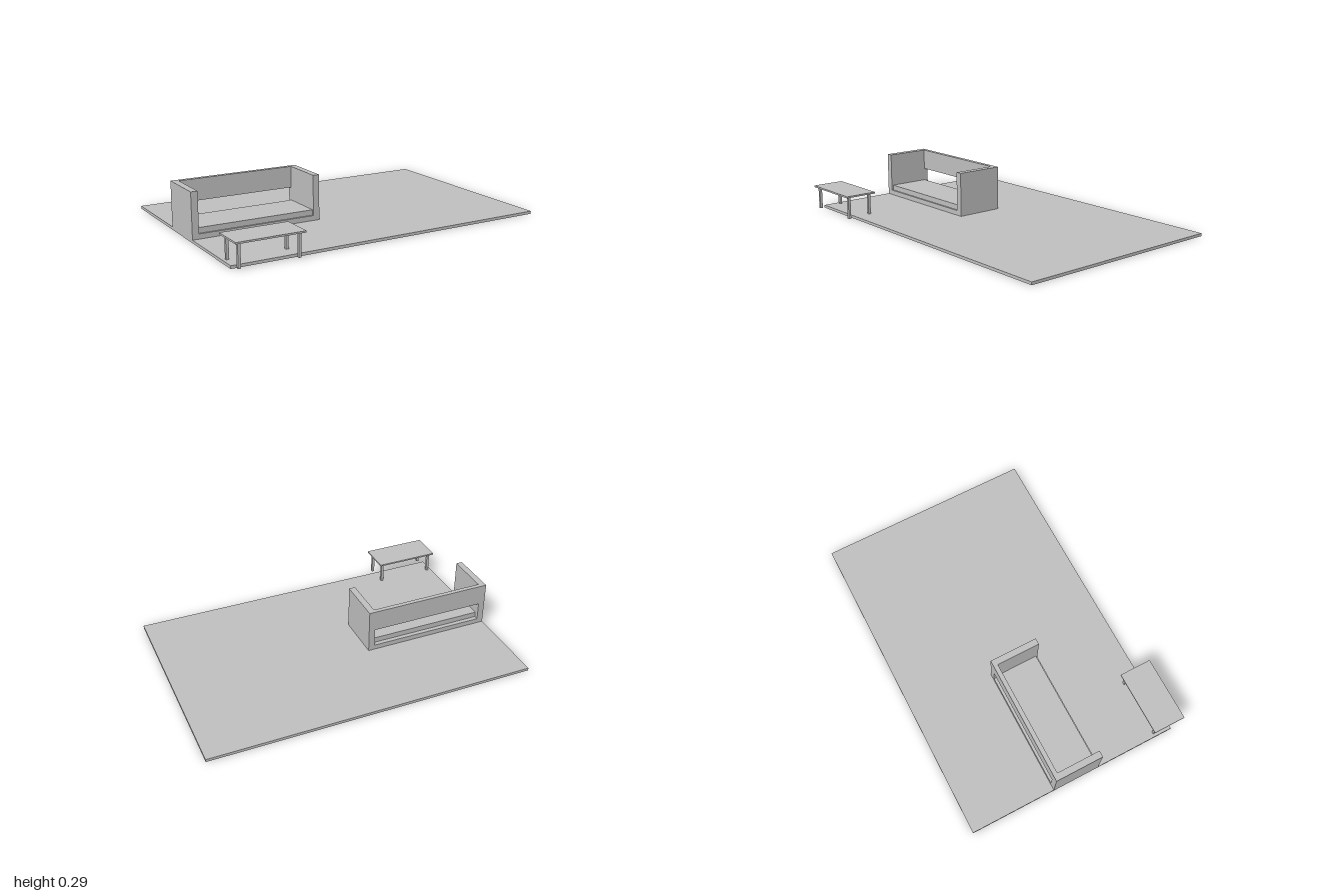
import * as THREE from 'three';

export function createModel() {
  const model = new THREE.Group();
  model.name = 'loungeCorner';
  const grey = new THREE.MeshStandardMaterial({ color: 0xbfbfbf });
  grey.name = 'lightGrey';

  // Box given by its lower and upper limits on each axis
  const box = (parent, name, [x0, x1], [y0, y1], [z0, z1]) => {
    const mesh = new THREE.Mesh(new THREE.BoxGeometry(x1 - x0, y1 - y0, z1 - z0), grey);
    mesh.position.set((x0 + x1) / 2, (y0 + y1) / 2, (z0 + z1) / 2);
    mesh.name = name;
    parent.add(mesh);
  };
  const group = (name) => {
    const g = new THREE.Group();
    g.name = name;
    model.add(g);
    return g;
  };

  // Floor slab
  box(model, 'floor', [-1, 1], [0, 0.017], [-0.7, 0.633]);

  // Sofa: base between the arms, inset seat, raised back panel with a gap below
  const sofa = group('sofa');
  box(sofa, 'rightArm', [-1, -0.96], [0.012, 0.29], [-0.167, 0.133]);
  box(sofa, 'leftArm', [-0.24, -0.2], [0.012, 0.29], [-0.167, 0.133]);
  box(sofa, 'base', [-0.96, -0.24], [0.012, 0.047], [-0.167, 0.133]);
  box(sofa, 'seat', [-0.96, -0.24], [0.047, 0.08], [-0.14, 0.122]);
  box(sofa, 'backPanel', [-0.96, -0.24], [0.16, 0.29], [-0.167, -0.14]);

  // Side table, its front legs standing just off the floor slab
  const table = group('table');
  box(table, 'tableTop', [-1, -0.6], [0.147, 0.157], [0.5, 0.7]);
  const r = 0.008;
  for (const x of [-0.973, -0.627])
    for (const z of [0.53, 0.673])
      box(table, 'tableLeg', [x - r, x + r], [0.01, 0.147], [z - r, z + r]);

  return model;
}
